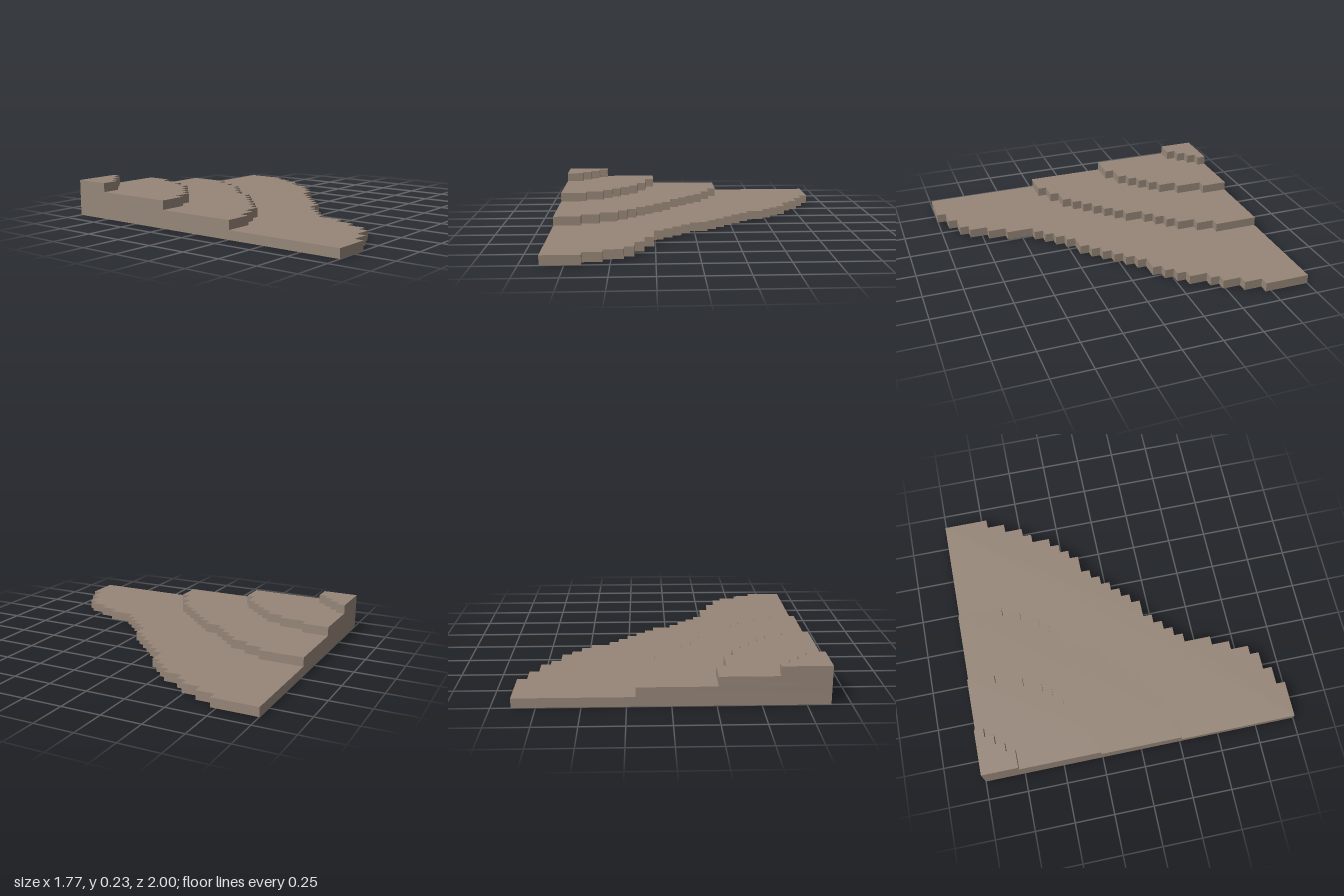
import * as THREE from 'three';

const CELL = 2 / 35;          // one grid cell
const X0 = -15.5 * CELL;      // straight left edge
const Z0 = -1;                // straight back edge

// Each terrace is a list of steps: [width in cells, last row in cells from the back]
const TERRACES = [
  ['baseTerrace', [[31, 5], [30, 7], [29, 9], [28, 10], [27, 12], [26, 13], [25, 14], [24, 15],
    [22, 16], [21, 17], [20, 18], [19, 19], [18, 20], [17, 21], [15, 22], [14, 23], [13, 24],
    [12, 25], [11, 28], [10, 30], [9, 32], [8, 33], [6, 34], [4, 35]]],
  ['secondTerrace', [[19, 5], [18, 7], [17, 9], [16, 10], [15, 11], [14, 12], [13, 14], [12, 15],
    [11, 16], [10, 17], [9, 18], [8, 19], [7, 20], [5, 21], [3, 22]]],
  ['thirdTerrace', [[11, 3], [10, 6], [9, 8], [8, 9], [7, 10], [6, 11], [5, 12], [3, 13]]],
  ['topTerrace', [[5, 1], [4, 2], [3, 3], [2, 4]]],
];

// Stepped outline extruded upwards by one cell
function terraceGeometry(steps) {
  const point = (col, row) => new THREE.Vector2(X0 + col * CELL, -(Z0 + row * CELL));
  const outline = [point(0, 0)];
  let row = 0;
  for (const [width, end] of steps) {
    outline.push(point(width, row), point(width, end));
    row = end;
  }
  outline.push(point(0, row));
  const geometry = new THREE.ExtrudeGeometry(new THREE.Shape(outline), { depth: CELL, bevelEnabled: false });
  return geometry.rotateX(-Math.PI / 2);
}

export function createModel() {
  const model = new THREE.Group();
  model.name = 'terracedHillCorner';
  const stone = new THREE.MeshStandardMaterial({ color: 0x968678 });
  stone.name = 'greyBrownStone';

  TERRACES.forEach(([name, steps], level) => {
    const mesh = new THREE.Mesh(terraceGeometry(steps), stone);
    mesh.name = name;
    mesh.position.y = level * CELL;
    model.add(mesh);
  });
  return model;
}
